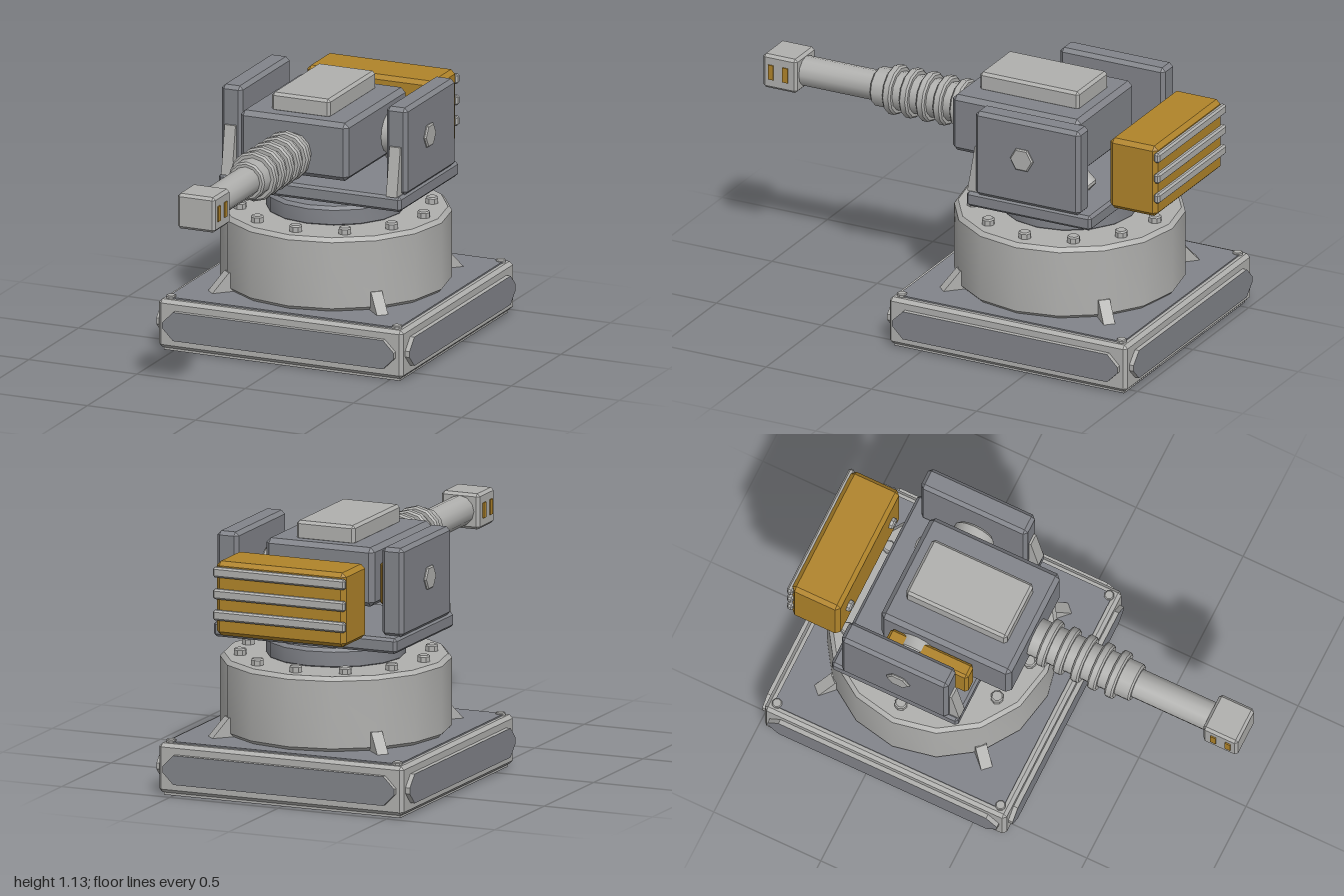
import * as THREE from 'three';
import { toCreasedNormals } from 'three/addons/utils/BufferGeometryUtils.js';
import { ConvexGeometry } from 'three/addons/geometries/ConvexGeometry.js';

const mat = (name, color) => {
  const m = new THREE.MeshStandardMaterial({ color });
  m.name = name;
  return m;
};

// Box between two corners with every edge chamfered
function chamferBox([x0, y0, z0], [x1, y1, z1], b) {
  const h = [(x1 - x0) / 2, (y1 - y0) / 2, (z1 - z0) / 2];
  const pts = [];
  for (const sx of [-1, 1]) for (const sy of [-1, 1]) for (const sz of [-1, 1])
    for (let k = 0; k < 3; k++) {
      const p = h.map((v, i) => (i === k ? v : v - b));
      pts.push(new THREE.Vector3(p[0] * sx, p[1] * sy, p[2] * sz));
    }
  return new ConvexGeometry(pts).translate((x0 + x1) / 2, (y0 + y1) / 2, (z0 + z1) / 2);
}

// Chamfered cylinder growing from the origin along an axis
function drum(r, len, sides, b, axis = 'y') {
  const profile = [[0, 0], [r - b, 0], [r, b], [r, len - b], [r - b, len], [0, len]];
  const g = new THREE.LatheGeometry(profile.map(p => new THREE.Vector2(...p)), sides);
  if (axis === 'x') g.rotateZ(-Math.PI / 2);
  if (axis === 'z') g.rotateX(Math.PI / 2);
  return toCreasedNormals(g, 0.6);
}

// Flat outline extruded along z, centred on its depth
function prism(points, depth) {
  const shape = new THREE.Shape(points.map(p => new THREE.Vector2(...p)));
  return new THREE.ExtrudeGeometry(shape, { depth, bevelEnabled: false }).translate(0, 0, -depth / 2);
}

export function createModel() {
  const light = mat('light grey metal', 0xb0b0ae);
  const dark = mat('dark grey metal', 0x82848a);
  const gold = mat('ochre paint', 0xb0842a);
  const model = new THREE.Group();
  model.name = 'turret';
  const CZ = -0.415; // turning axis
  const AY = 0.907;  // barrel height

  const add = (name, geometry, material, x = 0, y = 0, z = 0) => {
    const m = new THREE.Mesh(geometry, material);
    m.name = name;
    m.position.set(x, y, z);
    model.add(m);
    return m;
  };
  const box = (name, a, b, bevel, material) => add(name, chamferBox(a, b, bevel), material);

  // Square base with top deck and underside
  box('baseFrame', [-0.565, 0.012, CZ - 0.565], [0.565, 0.224, CZ + 0.565], 0.015, light);
  add('baseDeck', new THREE.BoxGeometry(1.07, 0.008, 1.07), dark, 0, 0.226, CZ);
  add('baseSkid', new THREE.BoxGeometry(1.09, 0.014, 1.09), light, 0, 0.009, CZ);
  add('baseUnderside', new THREE.BoxGeometry(1.09, 0.004, 1.09), dark, 0, 0.002, CZ);

  // Side panels and corner bolts
  const L = 0.535, H = 0.063, c = 0.05;
  const panel = prism([[-L, -H + c], [-L + c, -H], [L - c, -H], [L, -H + c],
    [L, H - c], [L - c, H], [-L + c, H], [-L, H - c]], 0.03);
  for (let i = 0; i < 4; i++) {
    const a = i * Math.PI / 2;
    add('basePanel', panel, [dark, light], Math.sin(a) * 0.57, 0.118, CZ + Math.cos(a) * 0.57).rotation.y = a;
  }
  for (const sx of [-1, 1]) for (const sz of [-1, 1])
    add('baseBolt', drum(0.022, 0.02, 8, 0.004), light, sx * 0.522, 0.217, CZ + sz * 0.522);

  // Drum, ring, bolts and diagonal gussets
  add('drum', drum(0.488, 0.324, 16, 0.017), light, 0, 0.228, CZ);
  add('turningRing', drum(0.295, 0.09, 16, 0.014), dark, 0, 0.542, CZ);
  for (let i = 0; i < 12; i++) {
    const a = i * Math.PI / 6;
    add('drumBolt', drum(0.028, 0.034, 8, 0.006), light, Math.sin(a) * 0.405, 0.546, CZ + Math.cos(a) * 0.405);
  }
  const gusset = prism([[0.44, 0.228], [0.565, 0.228], [0.49, 0.312], [0.44, 0.312]], 0.05);
  for (let i = 0; i < 4; i++)
    add('drumGusset', gusset, light, 0, 0, CZ).rotation.y = Math.PI / 4 + i * Math.PI / 2;

  // Yoke plate and the two arms
  box('yokePlate', [-0.422, 0.646, -0.735], [0.422, 0.712, -0.143], 0.012, dark);
  const brace = prism([[-0.2, 0.71], [-0.142, 0.71], [-0.178, 0.92], [-0.2, 0.92]], 0.05).rotateY(-Math.PI / 2);
  for (const s of [-1, 1]) {
    box('yokeArm', [s * 0.381 - 0.049, 0.708, -0.686], [s * 0.381 + 0.049, 1.09, -0.188], 0.016, dark);
    add('armBrace', brace, light, s * 0.381);
    add('armBolt', drum(0.055, 0.026, 6, 0.006, 'x'), light, s > 0 ? 0.414 : -0.44, 0.915, CZ);
    add('trunnion', drum(0.091, 0.08, 16, 0.012, 'x'), light, s > 0 ? 0.232 : -0.312, 0.907, CZ);
  }

  // Gun body, top cover and side box
  box('gunBody', [-0.25, 0.802, -0.59], [0.25, 1.056, 0.018], 0.02, dark);
  box('topCover', [-0.135, 1.045, -0.527], [0.135, 1.13, -0.055], 0.012, light);
  box('sideBox', [-0.321, 0.802, -0.532], [-0.253, 0.987, -0.146], 0.012, gold);

  // Tilted elevation cylinder under the body
  add('elevationCylinder', drum(0.05, 0.26, 12, 0.01), light, 0.206, 0.735, -0.615).rotation.x = 0.85;

  // Rear counterweight with fins and front pins
  box('rearBox', [-0.298, 0.712, -0.982], [0.298, 1.032, -0.757], 0.018, gold);
  for (const y of [0.802, 0.893, 0.987])
    box('rearFin', [-0.305, y - 0.022, -1], [0.305, y + 0.022, -0.972], 0.008, light);
  for (const s of [-1, 1])
    add('rearPin', drum(0.026, 0.03, 8, 0.006, 'z'), light, s * 0.205, 0.87, -0.768);

  // Barrel: ribbed sleeve, tube and muzzle block
  add('barrelSleeve', drum(0.085, 0.495, 12, 0.008, 'z'), light, 0, AY, 0);
  for (let i = 0; i < 5; i++)
    add('sleeveRib', drum(0.108, 0.04, 12, 0.008, 'z'), light, 0, AY, 0.065 + i * 0.08);
  add('barrel', drum(0.065, 0.38, 12, 0.004, 'z'), light, 0, AY, 0.48);
  box('muzzle', [-0.087, AY - 0.077, 0.838], [0.087, AY + 0.077, 1], 0.012, light);
  for (const s of [-1, 1]) for (const z of [0.89, 0.958])
    add('muzzleSlot', new THREE.BoxGeometry(0.009, 0.066, 0.025), gold, s * 0.088, AY, z);

  return model;
}
